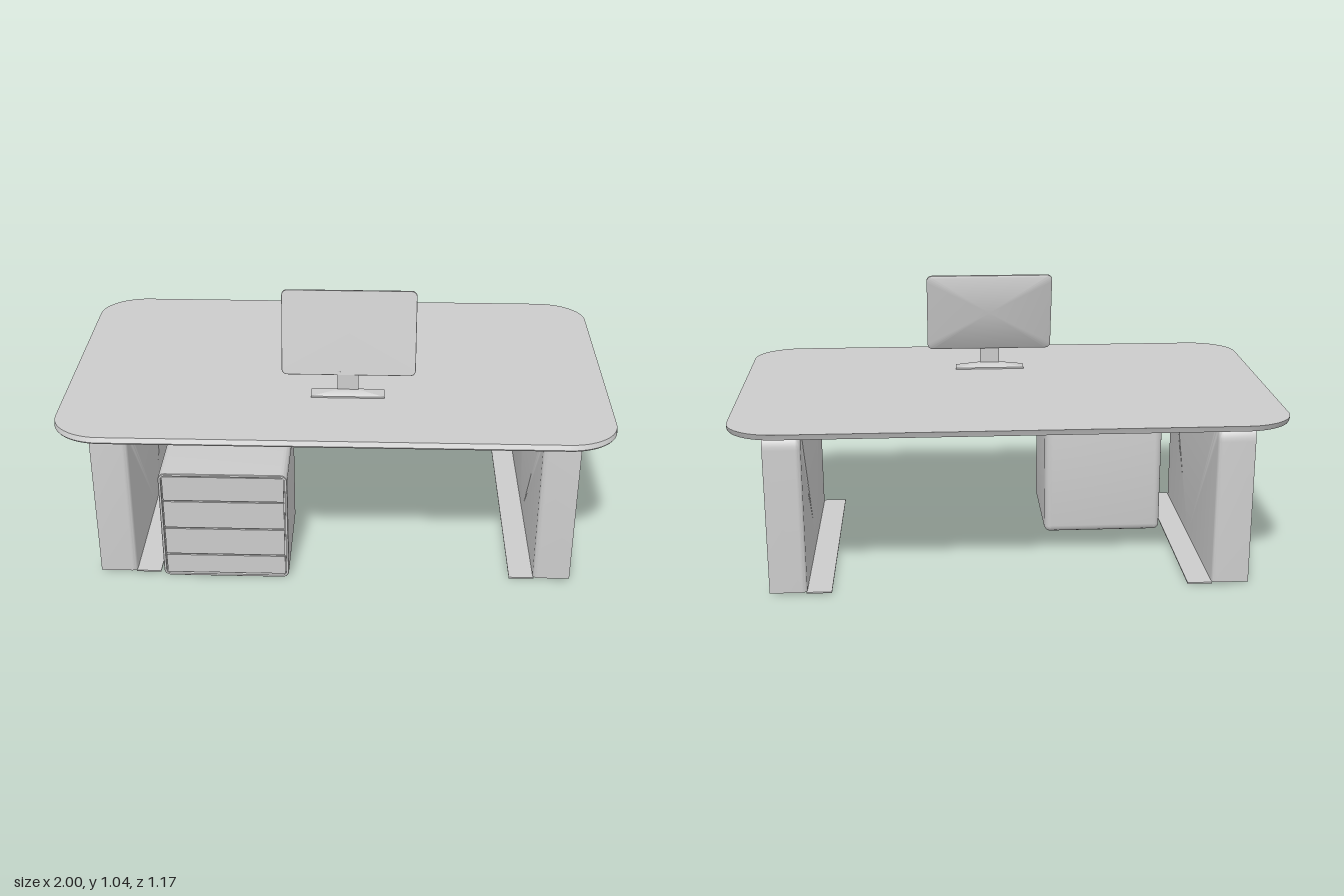
import * as THREE from 'three';
import { toCreasedNormals } from 'three/addons/utils/BufferGeometryUtils.js';

const material = new THREE.MeshStandardMaterial({ color: 0xcccccc });
const sheetMaterial = new THREE.MeshStandardMaterial({ color: 0xcccccc, side: THREE.DoubleSide });

// Counter-clockwise rounded rectangle centred on the origin
function roundedRect(w, h, rx, ry = rx, steps = 8) {
  const points = [];
  const signs = [[1, 1], [-1, 1], [-1, -1], [1, -1]];
  signs.forEach(([sx, sy], corner) => {
    for (let i = 0; i <= steps; i++) {
      const a = (corner + i / steps) * Math.PI / 2;
      points.push([sx * (w / 2 - rx) + rx * Math.cos(a), sy * (h / 2 - ry) + ry * Math.sin(a)]);
    }
  });
  return points;
}

// Skin a list of cross-sections; a section of one repeated point closes an end
function loft(rows, closed = true) {
  const positions = [];
  const n = rows[0].length;
  const triangle = (a, b, c) => {
    const t = new THREE.Triangle(...[a, b, c].map((p) => new THREE.Vector3(...p)));
    if (t.getArea() > 1e-10) positions.push(...a, ...b, ...c);
  };
  for (let i = 0; i < rows.length - 1; i++) {
    for (let j = 0; j < (closed ? n : n - 1); j++) {
      const k = (j + 1) % n;
      triangle(rows[i][j], rows[i][k], rows[i + 1][k]);
      triangle(rows[i][j], rows[i + 1][k], rows[i + 1][j]);
    }
  }
  const geometry = new THREE.BufferGeometry();
  geometry.setAttribute('position', new THREE.Float32BufferAttribute(positions, 3));
  return toCreasedNormals(geometry, 0.6);
}

function add(parent, name, geometry, x = 0, y = 0, z = 0, mat = material) {
  const mesh = new THREE.Mesh(geometry, mat);
  mesh.name = name;
  mesh.position.set(x, y, z);
  parent.add(mesh);
  return mesh;
}

// Quarter-round steps: [distance along, inset]
function fillet(r, steps = 4) {
  return Array.from({ length: steps + 1 }, (_, i) => {
    const a = (i / steps) * Math.PI / 2;
    return [r * Math.sin(a), r * (1 - Math.cos(a))];
  });
}

// Table top: edge raked slightly from front to back
function tableTop() {
  const row = (y, z, s) => roundedRect(2, 1.166, 0.18, 0.15, 12).map(([u, v]) => [u * s, y, z - v * s]);
  return loft([row(0.632, 0.003, 0), row(0.632, 0.003, 0.997), row(0.637, 0.003, 1),
    row(0.654, -0.005, 1), row(0.654, -0.005, 0)]);
}

// Side support: shallow tray open towards the outside and the floor
function sidePanel(side) {
  const outline = (x, inset) => {
    const r = 0.07 - inset, half = 0.467 - inset, top = 0.625 - inset;
    const pts = [[half, 0.008]];
    for (let i = 0; i <= 8; i++) {
      const a = (i / 8) * Math.PI / 2;
      pts.push([half - r + r * Math.cos(a), top - r + r * Math.sin(a)]);
    }
    const mirrored = pts.map(([z, y]) => [-z, y]).reverse();
    return [...pts, ...mirrored].map(([z, y]) => [side * x, y, z]);
  };
  const r = 0.018;
  const rows = [outline(0.88, 0)];
  fillet(r).forEach(([d, inset]) => rows.push(outline(0.745 + r - d, inset)));
  rows.push(rows[0].map(() => [side * 0.745, 0.008, 0]));
  return loft(rows, false);
}

// Cabinet shell: rounded at the back, thin rim round a recessed front
function cabinetShell() {
  const r = 0.03;
  const row = (z, inset) => roundedRect(0.47 - 2 * inset, 0.448 - 2 * inset, Math.max(0.025 - inset, 0.002))
    .map(([u, v]) => [u, v, z]);
  const point = (z) => row(z, 0).map(() => [0, 0, z]);
  const back = fillet(r).reverse().map(([d, inset]) => row(0.06 + r - d, inset));
  return loft([point(0.06), ...back, row(0.478, 0), row(0.48, 0.002), row(0.48, 0.009),
    row(0.47, 0.01), point(0.47)]);
}

// Screen: thin slab, chamfered towards the back
function screenSlab() {
  const row = (z, inset) => roundedRect(0.49 - 2 * inset, 0.315 - 2 * inset, 0.02).map(([u, v]) => [u, v, z]);
  const point = (z) => row(z, 0).map(() => [0, 0, z]);
  return loft([point(-0.007), row(-0.007, 0.008), row(-0.002, 0), row(0.006, 0),
    row(0.007, 0.001), point(0.007)]);
}

// Stand foot: low slab rising to a ridge under the stem
function standFoot() {
  const row = (y, w, d) => [[1, 1], [1, -1], [-1, -1], [-1, 1]].map(([sx, sz]) => [sx * w / 2, y, sz * d / 2]);
  return loft([row(0, 0, 0), row(0, 0.27, 0.058), row(0.006, 0.27, 0.058),
    row(0.022, 0.085, 0.01), row(0.022, 0, 0)]);
}

export function createModel() {
  const model = new THREE.Group();
  model.name = 'desk';

  add(model, 'tableTop', tableTop());

  // Supports with foot plates turned inward
  for (const side of [1, -1]) {
    const support = new THREE.Group();
    support.name = side > 0 ? 'leftSupport' : 'rightSupport';
    add(support, 'sidePanel', sidePanel(side), 0, 0, 0, sheetMaterial);
    add(support, 'footPlate', new THREE.BoxGeometry(0.092, 0.005, 0.93), side * 0.701, 0.0055, 0);
    model.add(support);
  }

  // Drawer cabinet
  const cabinet = new THREE.Group();
  cabinet.name = 'drawerCabinet';
  cabinet.position.x = -0.405;
  add(cabinet, 'cabinetShell', cabinetShell(), 0, 0.224, 0);
  const seams = [0.011, 0.095, 0.212, 0.33, 0.437];
  for (let i = 0; i < 4; i++) {
    const h = seams[i + 1] - seams[i] - 0.006;
    add(cabinet, 'drawerFront', new THREE.BoxGeometry(0.443, h, 0.01), 0, (seams[i] + seams[i + 1]) / 2, 0.472);
  }
  model.add(cabinet);

  // Monitor on its stand
  const monitor = new THREE.Group();
  monitor.name = 'monitor';
  monitor.position.x = 0.043;
  add(monitor, 'standFoot', standFoot(), 0, 0.654, 0.235);
  add(monitor, 'stem', new THREE.BoxGeometry(0.076, 0.078, 0.005), 0, 0.709, 0.234);
  add(monitor, 'screen', screenSlab(), 0.002, 0.888, 0.199).rotation.x = -0.213;
  model.add(monitor);

  return model;
}
